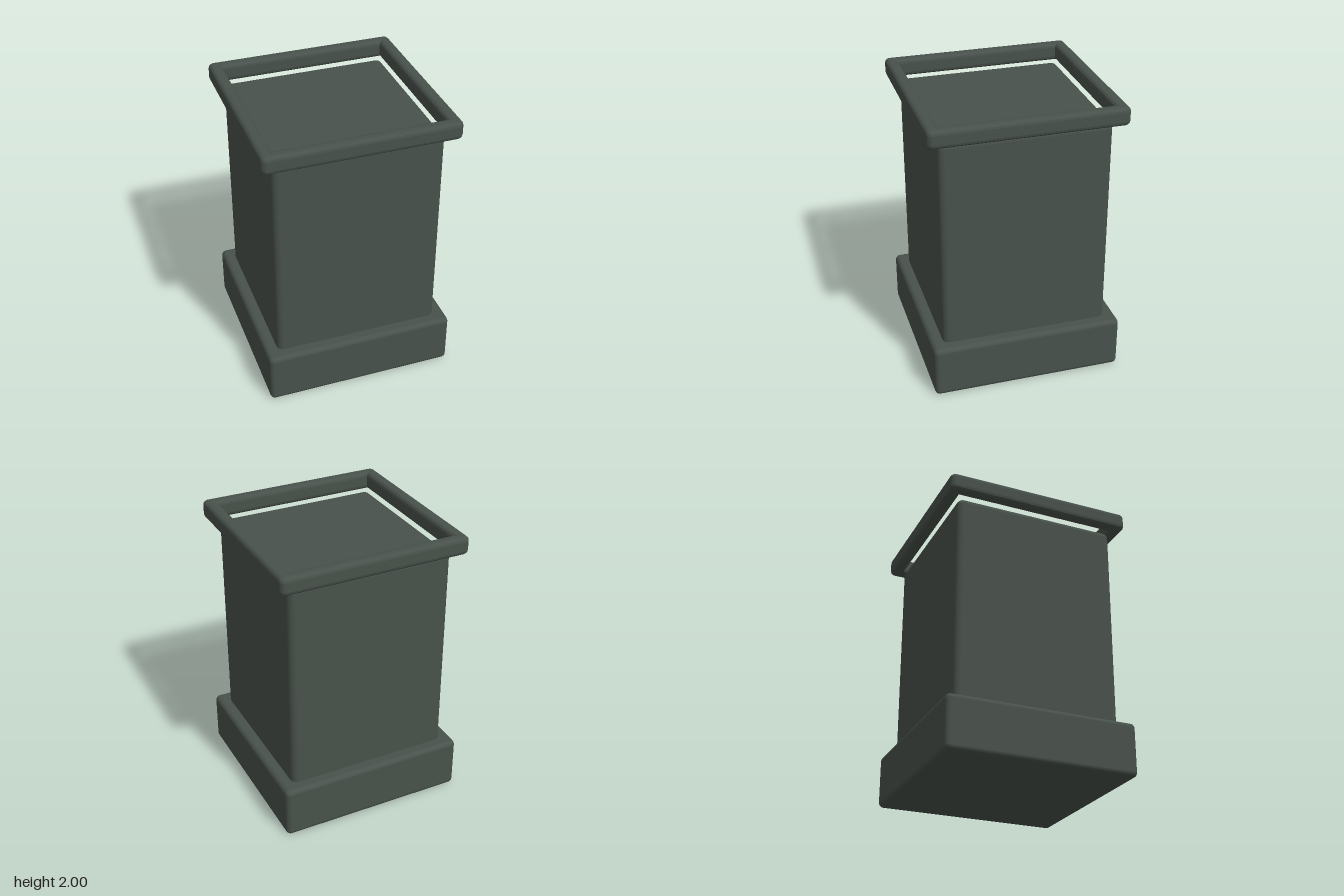
import * as THREE from 'three';
import { RoundedBoxGeometry } from 'three/addons/geometries/RoundedBoxGeometry.js';

const darkMetal = new THREE.MeshStandardMaterial({ color: 0x48514b });
darkMetal.name = 'darkGreenGrey';

// Square block with softened edges, spanning y0 to y1
function block(name, width, y0, y1, radius) {
  const mesh = new THREE.Mesh(new RoundedBoxGeometry(width, y1 - y0, width, 3, radius), darkMetal);
  mesh.name = name;
  mesh.position.y = (y0 + y1) / 2;
  return mesh;
}

// Square outline with rounded corners
function roundedSquare(half, r) {
  const s = new THREE.Shape();
  const c = half - r;
  s.absarc(c, c, r, 0, Math.PI / 2);
  s.absarc(-c, c, r, Math.PI / 2, Math.PI);
  s.absarc(-c, -c, r, Math.PI, Math.PI * 1.5);
  s.absarc(c, -c, r, Math.PI * 1.5, Math.PI * 2);
  s.closePath();
  return s;
}

// Open square frame with bevelled inner and outer edges
function frame(name, outer, inner, y0, y1, bevel) {
  const shape = roundedSquare(outer, 0.04);
  shape.holes.push(new THREE.Path([
    new THREE.Vector2(-inner, -inner), new THREE.Vector2(-inner, inner),
    new THREE.Vector2(inner, inner), new THREE.Vector2(inner, -inner),
  ]));
  const geometry = new THREE.ExtrudeGeometry(shape, {
    depth: y1 - y0 - 2 * bevel, curveSegments: 3,
    bevelThickness: bevel, bevelSize: bevel, bevelOffset: -bevel, bevelSegments: 3,
  });
  geometry.rotateX(-Math.PI / 2);
  const mesh = new THREE.Mesh(geometry, darkMetal);
  mesh.name = name;
  mesh.position.y = y0 + bevel;
  return mesh;
}

export function createModel() {
  const model = new THREE.Group();
  model.name = 'pedestal';
  model.add(
    block('base', 1.34, 0, 0.375, 0.035),
    block('body', 1.17, 0.2, 1.87, 0.045),
    frame('topRim', 0.67, 0.58, 1.875, 2, 0.03),
  );
  return model;
}
